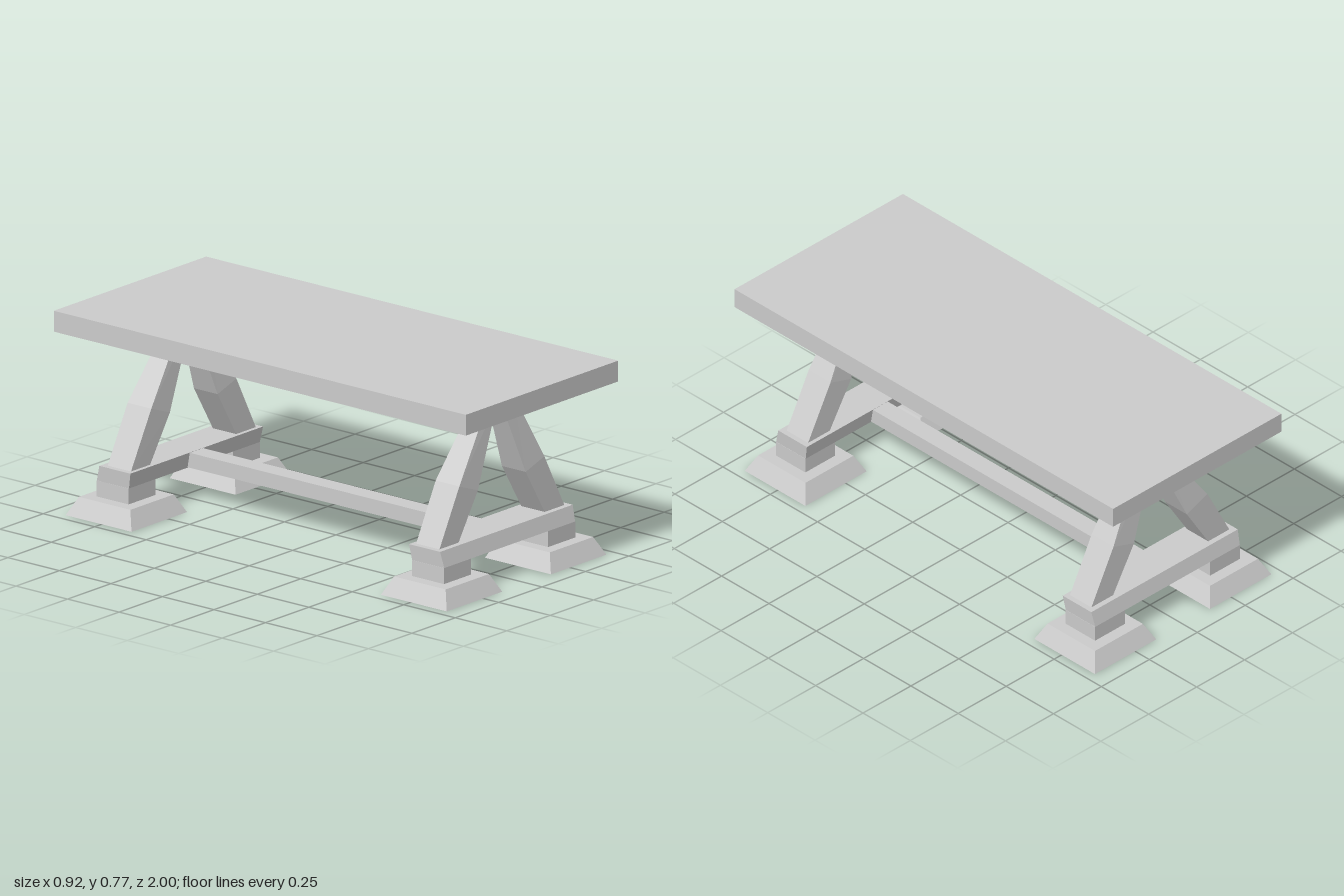
import * as THREE from 'three';

const timber = new THREE.MeshStandardMaterial({ color: 0xcccccc });
timber.name = 'plain grey';

// Solid through four-sided rings, bottom to top: [x0, y0, x1, y1, zBack, zFront],
// where y0 and y1 are the heights of the ring at its x0 and x1 sides.
function loft(rings) {
  const pts = rings.map(([x0, y0, x1, y1, zb, zf]) =>
    [[x0, y0, zf], [x1, y1, zf], [x1, y1, zb], [x0, y0, zb]]);
  const pos = [];
  const quad = (a, b, c, d) => pos.push(...a, ...b, ...c, ...a, ...c, ...d);
  for (let r = 0; r < pts.length - 1; r++) {
    for (let i = 0; i < 4; i++) {
      const j = (i + 1) % 4;
      quad(pts[r][i], pts[r][j], pts[r + 1][j], pts[r + 1][i]);
    }
  }
  const first = pts[0], last = pts[pts.length - 1];
  quad(first[3], first[2], first[1], first[0]);
  quad(last[0], last[1], last[2], last[3]);
  const geo = new THREE.BufferGeometry();
  geo.setAttribute('position', new THREE.Float32BufferAttribute(pos, 3));
  geo.computeVertexNormals();
  return geo;
}

function part(name, geometry, parent) {
  const mesh = new THREE.Mesh(geometry, timber);
  mesh.name = name;
  parent.add(mesh);
  return mesh;
}

function box(name, x0, x1, y0, y1, z0, z1, parent) {
  const mesh = part(name, new THREE.BoxGeometry(x1 - x0, y1 - y0, z1 - z0), parent);
  mesh.position.set((x0 + x1) / 2, (y0 + y1) / 2, (z0 + z1) / 2);
}

// One A-shaped trestle; side is +1 at the front and -1 at the back
function trestle(side) {
  const group = new THREE.Group();
  group.name = side > 0 ? 'frontTrestle' : 'backTrestle';
  const add = (name, rings) => part(name, loft(rings.map(([a, b, c, d, zb, zf]) =>
    side > 0 ? [a, b, c, d, zb, zf] : [a, b, c, d, -zf, -zb])), group);

  // Splayed feet and the short posts on them
  for (const s of [-1, 1]) {
    const cx = s * 0.3;
    add('foot', [
      [cx - 0.16, 0, cx + 0.16, 0, 0.605, 0.925],
      [cx - 0.125, 0.07, cx + 0.125, 0.07, 0.64, 0.89],
    ]);
    add('post', [
      [cx - 0.078, 0.07, cx + 0.078, 0.07, 0.688, 0.843],
      [cx - 0.078, 0.132, cx + 0.078, 0.132, 0.688, 0.843],
    ]);
  }

  // Cross beam, leaning slightly inward
  add('crossBeam', [
    [-0.377, 0.132, 0.377, 0.132, 0.687, 0.843],
    [-0.382, 0.193, 0.382, 0.193, 0.676, 0.827],
  ]);

  // Bent legs meeting at the apex
  add('rightLeg', [
    [-0.36, 0.192, -0.25, 0.192, 0.692, 0.805],
    [-0.245, 0.41, -0.138, 0.37, 0.69, 0.805],
    [-0.053, 0.677, 0.004, 0.677, 0.712, 0.779],
    [-0.04, 0.696, 0.03, 0.696, 0.713, 0.777],
  ]);
  add('leftLeg', [
    [0.247, 0.192, 0.36, 0.192, 0.692, 0.805],
    [0.137, 0.375, 0.245, 0.41, 0.69, 0.805],
    [0.021, 0.677, 0.1, 0.677, 0.712, 0.779],
    [0, 0.696, 0.09, 0.696, 0.713, 0.777],
  ]);
  return group;
}

export function createModel() {
  const table = new THREE.Group();
  table.name = 'trestleTable';
  box('tableTop', -0.439, 0.439, 0.694, 0.775, -1, 1, table);
  box('stretcher', -0.04, 0.037, 0.134, 0.192, -0.7, 0.7, table);
  table.add(trestle(1), trestle(-1));
  return table;
}
